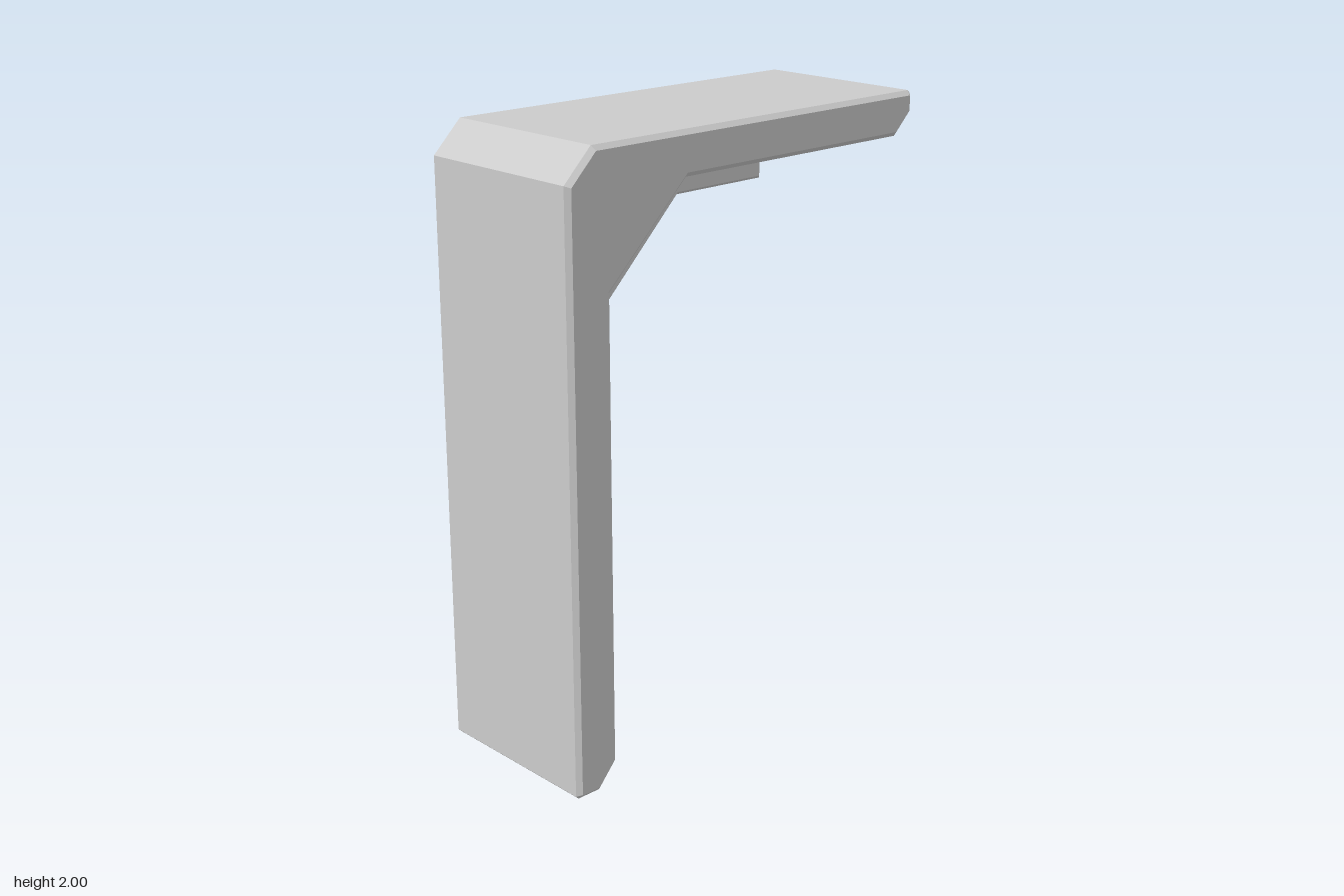
import * as THREE from 'three';

const material = new THREE.MeshStandardMaterial({ color: 0xcccccc });
const alongZ = (u, v, w) => [u, v, w];
const alongY = (u, v, w) => [u, w, -v];

// Moves every edge of a counter-clockwise outline inwards by d
function inset(outline, d) {
  const n = outline.length;
  return outline.map(([x, y], i) => {
    const [px, py] = outline[(i + n - 1) % n];
    const [nx, ny] = outline[(i + 1) % n];
    const l1 = Math.hypot(x - px, y - py), l2 = Math.hypot(nx - x, ny - y);
    const a = [(py - y) / l1, (x - px) / l1], b = [(y - ny) / l2, (nx - x) / l2];
    const k = d / (1 + a[0] * b[0] + a[1] * b[1]);
    return [x + (a[0] + b[0]) * k, y + (a[1] + b[1]) * k];
  });
}

// Joins matching outlines [outline, position] into a closed, flat-faced solid
function loft(name, sections, place) {
  const positions = [];
  const add = (s, i) => positions.push(...place(...s[0][i], s[1]));
  const n = sections[0][0].length;
  for (let k = 0; k + 1 < sections.length; k++) {
    const s = sections[k], t = sections[k + 1];
    for (let i = 0; i < n; i++) {
      const j = (i + 1) % n;
      add(s, i); add(s, j); add(t, j);
      add(s, i); add(t, j); add(t, i);
    }
  }
  const caps = [[sections[0], true], [sections[sections.length - 1], false]];
  for (const [s, flip] of caps) {
    const points = s[0].map(([x, y]) => new THREE.Vector2(x, y));
    for (const [a, b, c] of THREE.ShapeUtils.triangulateShape(points, [])) {
      add(s, a); add(s, flip ? c : b); add(s, flip ? b : c);
    }
  }
  const geometry = new THREE.BufferGeometry();
  geometry.setAttribute('position', new THREE.Float32BufferAttribute(positions, 3));
  geometry.computeVertexNormals();
  const mesh = new THREE.Mesh(geometry, material);
  mesh.name = name;
  return mesh;
}

export function createModel() {
  const group = new THREE.Group();
  group.name = 'angleBracket';

  // Bracket body, with a groove sunk into the middle of its inner side
  const body = (groove) => [
    [-0.72, 0], [-0.64, 0], [-0.57, 0.08],
    ...groove,
    [0.65, 1.86], [0.72, 1.93], [0.72, 1.99], [0.71, 2],
    [-0.63, 2], [-0.73, 1.9], [-0.73, 0.01],
  ];
  const full = body([[-0.57, 0.53], [-0.57, 0.61], [-0.57, 1.57], [-0.27, 1.86], [0.16, 1.86], [0.24, 1.86]]);
  const grooved = body([[-0.57, 0.53], [-0.65, 0.61], [-0.65, 1.6], [-0.3, 1.94], [0.16, 1.94], [0.24, 1.86]]);
  group.add(loft('bracketBody', [
    [inset(full, 0.015), -0.31], [full, -0.295],
    [full, -0.19], [grooved, -0.19],
    [grooved, 0.19], [full, 0.19],
    [full, 0.295], [inset(full, 0.015), 0.31],
  ], alongZ));

  // Bent strip lying in the groove around the corner
  const strip = [
    [-0.65, 1.3], [-0.48, 1.3], [-0.48, 1.5], [-0.2, 1.78],
    [0.15, 1.78], [0.15, 1.94], [-0.3, 1.94], [-0.65, 1.6],
  ];
  group.add(loft('cornerStrip', [
    [inset(strip, 0.008), -0.19], [strip, -0.182],
    [strip, 0.182], [inset(strip, 0.008), 0.19],
  ], alongZ));

  // Raised block below the strip, with chamfered sides
  const block = [
    [-0.65, -0.19], [-0.5, -0.19], [-0.43, -0.13],
    [-0.43, 0.13], [-0.5, 0.19], [-0.65, 0.19],
  ];
  group.add(loft('middleBlock', [
    [inset(block, 0.015), 1.015], [block, 1.03],
    [block, 1.285], [inset(block, 0.015), 1.3],
  ], alongY));

  // Lower block, with chamfered sides and a sloping lower end
  const wedge = (x, z) => [
    [-0.65, -0.19], [-0.57, -0.19], [x, -z],
    [x, z], [-0.57, 0.19], [-0.65, 0.19],
  ];
  group.add(loft('lowerBlock', [
    [wedge(-0.565, 0.185), 0.62], [wedge(-0.49, 0.12), 0.69], [wedge(-0.49, 0.12), 1.015],
  ], alongY));

  return group;
}
